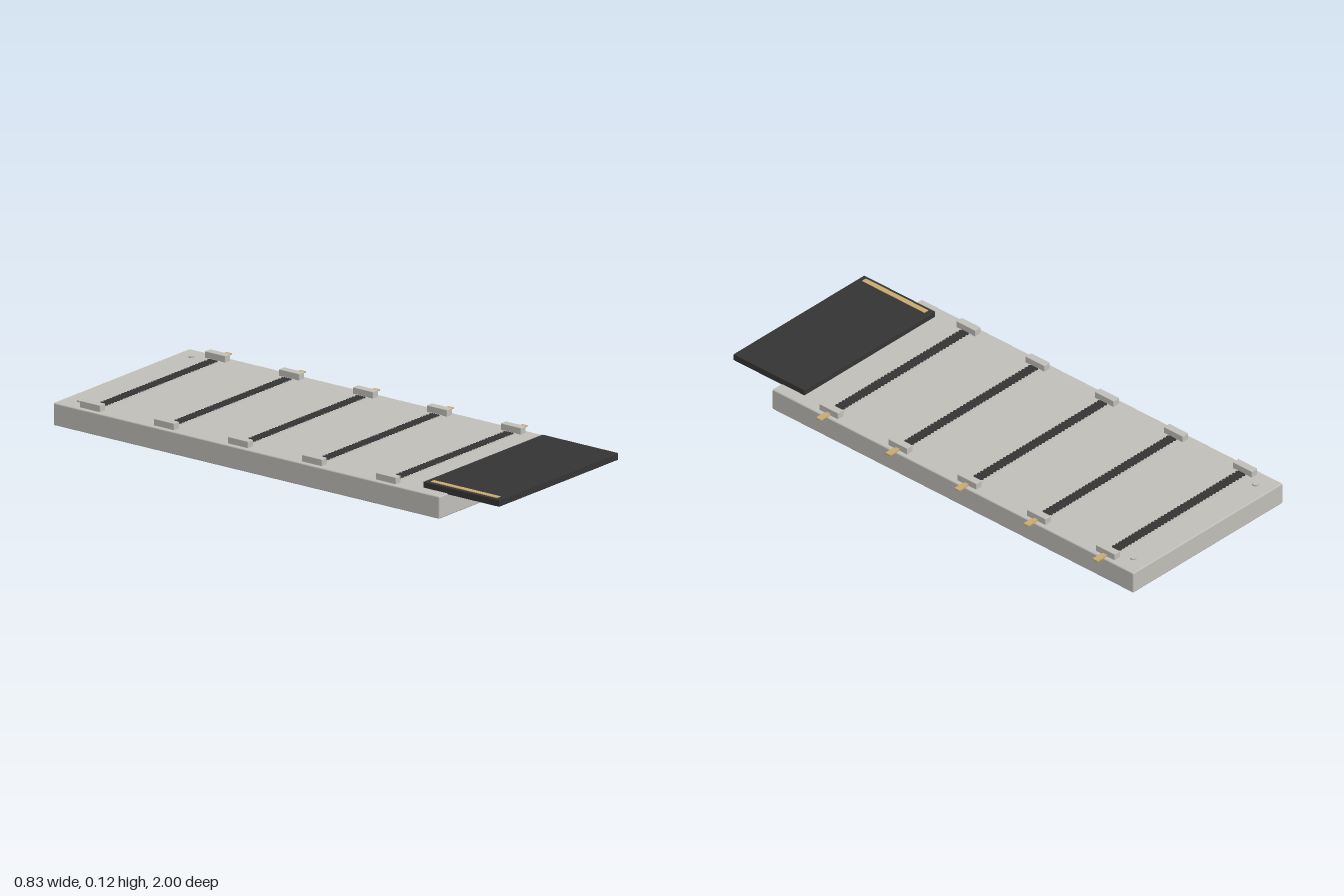
import * as THREE from 'three';
import { RoundedBoxGeometry } from 'three/addons/geometries/RoundedBoxGeometry.js';
import { mergeGeometries } from 'three/addons/utils/BufferGeometryUtils.js';

const material = (name, color) => {
  const m = new THREE.MeshStandardMaterial({ color });
  m.name = name;
  return m;
};

// Box from its limits on each axis
function box(x0, x1, y0, y1, z0, z1) {
  return new THREE.BoxGeometry(x1 - x0, y1 - y0, z1 - z0)
    .translate((x0 + x1) / 2, (y0 + y1) / 2, (z0 + z1) / 2);
}

function roundedBox(x0, x1, y0, y1, z0, z1, r) {
  return new RoundedBoxGeometry(x1 - x0, y1 - y0, z1 - z0, 2, r)
    .translate((x0 + x1) / 2, (y0 + y1) / 2, (z0 + z1) / 2);
}

export function createModel() {
  const model = new THREE.Group();
  const grey = material('warm grey', 0xbfbdb8);
  const dark = material('charcoal', 0x343434);
  const gold = material('gold', 0xc8a96e);

  const add = (parent, name, geometry, mat) => {
    const mesh = new THREE.Mesh(geometry, mat);
    mesh.name = name;
    parent.add(mesh);
    return mesh;
  };

  const MID = -0.0175; // centre line of the base in x
  const TOP = 0.095;

  // Base slab
  add(model, 'base', roundedBox(-0.415, 0.38, 0.01, TOP, -1, 0.765, 0.005), grey);

  // Toothed strip: a solid core with small teeth along both long sides
  function toothedStrip(x0, x1, y0, y1, core, width) {
    const parts = [box(x0, x1, y0, y1, -core / 2, core / 2)];
    const count = 40, pitch = (x1 - x0) / count;
    for (let i = 0; i < count; i++) {
      const x = x0 + (i + 0.25) * pitch;
      parts.push(box(x, x + pitch / 2, y0, y1, -width / 2, width / 2));
    }
    return mergeGeometries(parts);
  }
  const slotGeometry = toothedStrip(-0.365, 0.325, TOP - 0.01, TOP + 0.003, 0.034, 0.042);
  const pinGeometry = toothedStrip(-0.36, 0.325, 0, 0.014, 0.028, 0.038);

  // Five card connectors
  for (let i = 0; i < 5; i++) {
    const connector = new THREE.Group();
    connector.name = 'connector' + (i + 1);
    connector.position.z = -0.846 + i * 0.338;
    add(connector, 'slotRim', box(-0.367, 0.332, TOP - 0.01, TOP + 0.001, -0.028, 0.028), grey);
    add(connector, 'slot', slotGeometry, dark);
    add(connector, 'undersidePins', pinGeometry, dark);
    for (const s of [-1, 1]) {
      const x = MID + s * 0.3645;
      add(connector, s > 0 ? 'leftGuide' : 'rightGuide',
        roundedBox(x - 0.015, x + 0.015, TOP - 0.003, 0.12, -0.046, 0.046, 0.002), grey);
    }
    // Ejector lever with a wider tip
    add(connector, 'leverStem', box(0.355, 0.375, 0.0975, 0.1025, -0.009, 0.009), gold);
    add(connector, 'leverTip', box(0.372, 0.415, 0.0975, 0.1025, -0.0125, 0.0125), gold);
    model.add(connector);
  }

  // Small studs near the back corners
  for (const s of [-1, 1]) {
    const stud = add(model, s > 0 ? 'leftStud' : 'rightStud',
      new THREE.CylinderGeometry(0.012, 0.012, 0.01, 16), grey);
    stud.position.set(MID + s * 0.325, TOP + 0.001, -0.933);
  }

  // Dark card overhanging the front, with a gold contact strip
  add(model, 'card', roundedBox(-0.365, 0.33, 0.091, 0.117, 0.653, 1, 0.002), dark);
  add(model, 'contactStrip', box(-0.352, -0.331, 0.116, 0.119, 0.675, 0.98), gold);

  return model;
}
